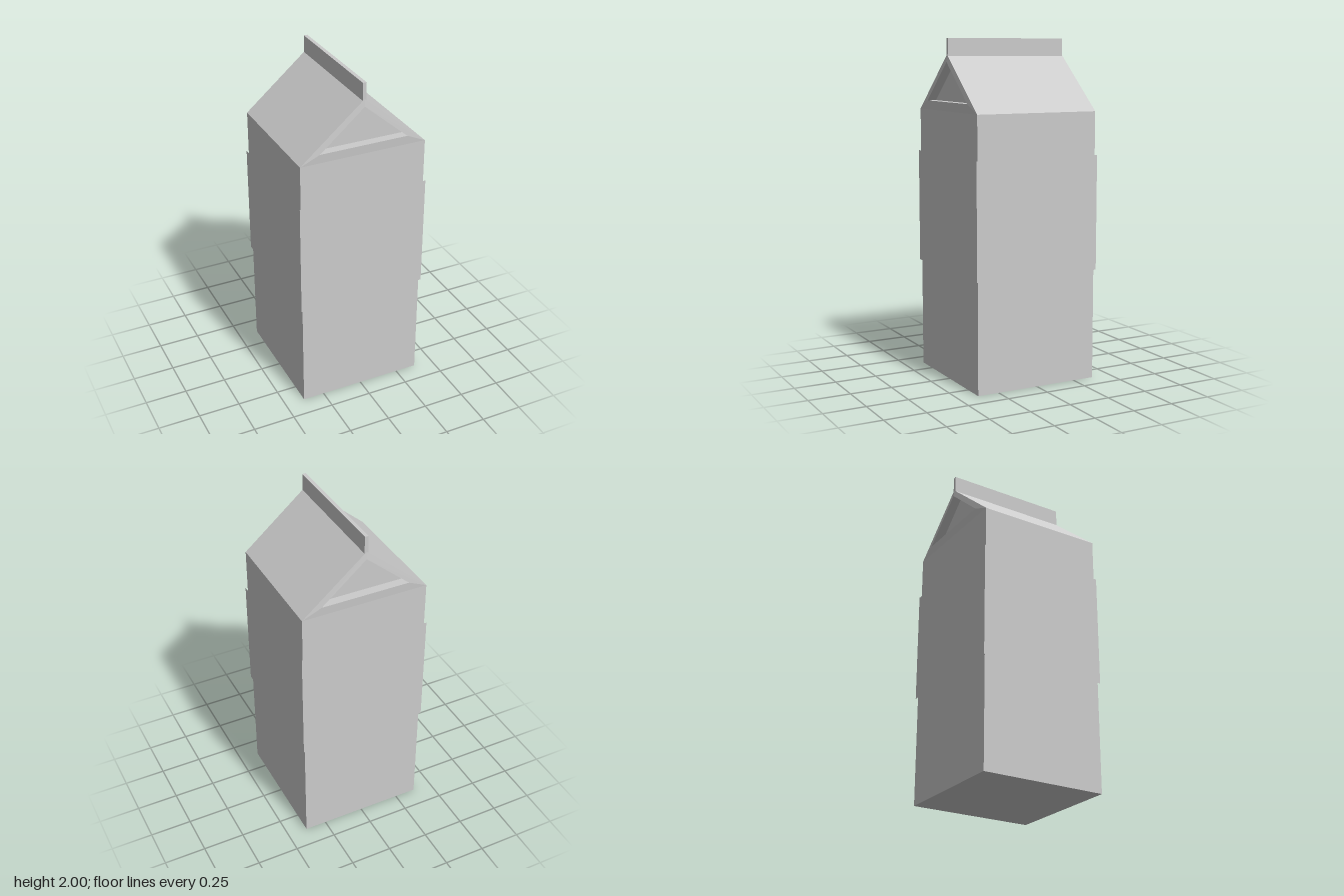
import * as THREE from 'three';

const HALF = 0.38;       // half width of the carton
const SHOULDER = 1.583;  // height where the roof starts
const APEX = 1.907;      // height of the roof ridge

const material = new THREE.MeshStandardMaterial({ color: 0xcccccc, flatShading: true });

function addPart(group, name, geometry, x = 0, y = 0, z = 0) {
  const mesh = new THREE.Mesh(geometry, material);
  mesh.name = name;
  mesh.position.set(x, y, z);
  group.add(mesh);
  return mesh;
}

// Gable roof: triangular sections joined in order, from one recessed gable to the other
function roofGeometry() {
  const outer = [[-HALF, SHOULDER], [HALF, SHOULDER], [0, APEX]];
  const inner = [[-0.265, 1.636], [0.265, 1.636], [0, 1.864]];
  const sections = [
    [inner, -0.33], [inner, -0.384], [outer, -HALF],
    [outer, HALF], [inner, 0.384], [inner, 0.33],
  ].map(([tri, z]) => tri.map(([x, y]) => [x, y, z]));

  const positions = [];
  const triangle = (a, b, c) => positions.push(...a, ...b, ...c);
  for (let i = 0; i < sections.length - 1; i++) {
    const s = sections[i], t = sections[i + 1];
    for (let j = 0; j < 3; j++) {
      if (i === 2 && j === 0) continue; // underside rests on the body
      const k = (j + 1) % 3;
      triangle(s[j], s[k], t[k]);
      triangle(s[j], t[k], t[j]);
    }
  }
  // Recessed panels at both ends
  const [a, b, c] = sections[0];
  triangle(c, b, a);
  triangle(...sections[sections.length - 1]);

  const geometry = new THREE.BufferGeometry();
  geometry.setAttribute('position', new THREE.Float32BufferAttribute(positions, 3));
  geometry.computeVertexNormals();
  return geometry;
}

export function createModel() {
  const carton = new THREE.Group();
  carton.name = 'carton';

  // Square body
  addPart(carton, 'body', new THREE.BoxGeometry(2 * HALF, SHOULDER, 2 * HALF), 0, SHOULDER / 2, 0);

  // Label sleeve wrapped around the body, open at top and bottom
  const bottom = 0.655, top = 1.33;
  const sleeve = new THREE.CylinderGeometry(0.39 * Math.SQRT2, 0.39 * Math.SQRT2, top - bottom, 4, 1, true)
    .rotateY(Math.PI / 4).toNonIndexed();
  sleeve.computeVertexNormals();
  addPart(carton, 'labelSleeve', sleeve, 0, (top + bottom) / 2, 0);

  // Roof with recessed gables
  addPart(carton, 'roof', roofGeometry());

  // Sealed fin along the ridge
  const finBase = 1.89;
  addPart(carton, 'topFin', new THREE.BoxGeometry(0.022, 2 - finBase, 0.756), 0, (2 + finBase) / 2, 0);

  return carton;
}
